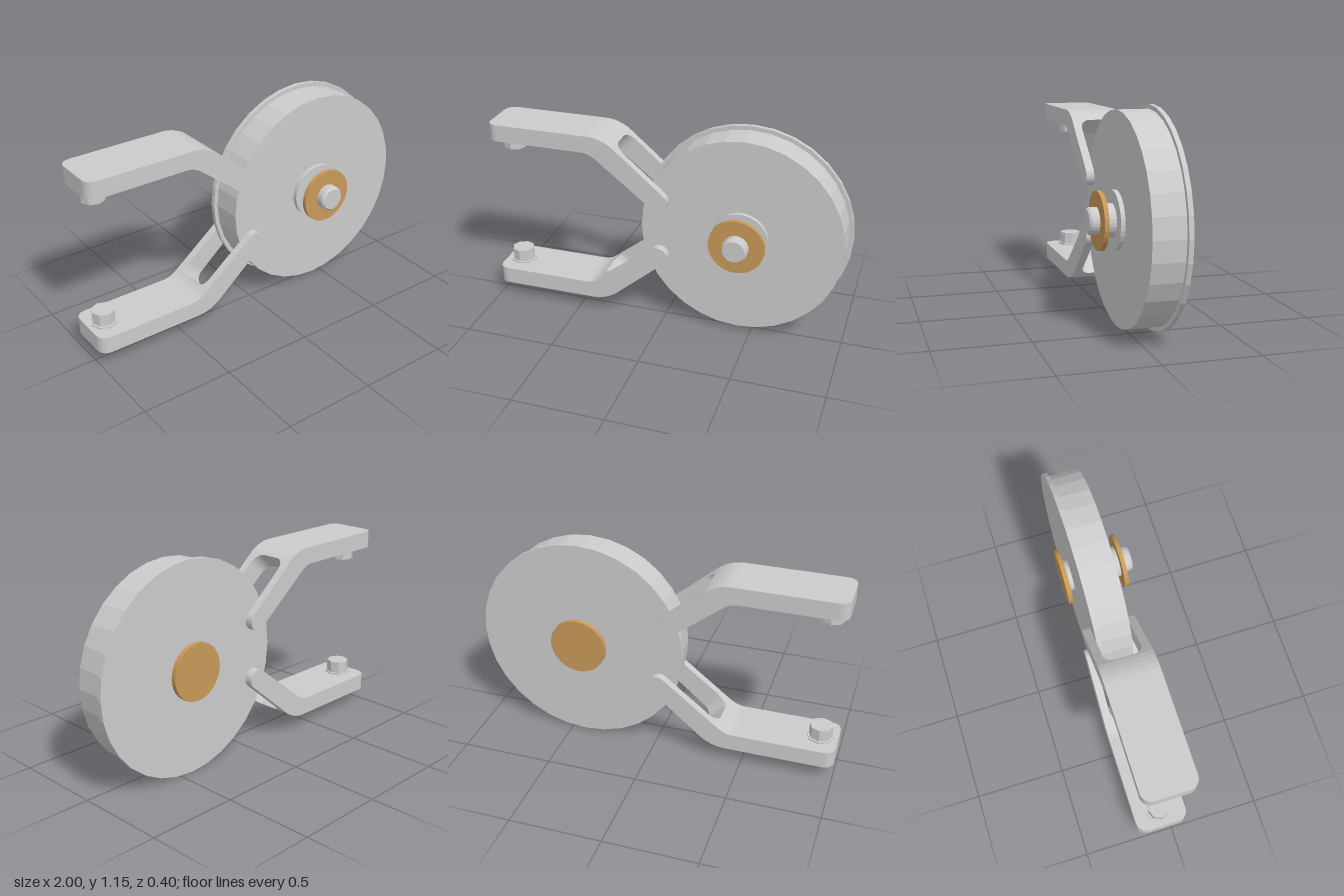
import * as THREE from 'three';

const grey = new THREE.MeshStandardMaterial({ color: 0xcccccc, flatShading: true });
const brass = new THREE.MeshStandardMaterial({ color: 0xc89858, flatShading: true });
const AXIS = new THREE.Vector2(0.425, 0.578); // wheel centre, also the mirror height of the arms
const MID_Z = -0.052; // centre plane of the arms

function add(parent, name, geometry, material = grey) {
  const mesh = new THREE.Mesh(geometry, material);
  mesh.name = name;
  parent.add(mesh);
  return mesh;
}

// Disc on the wheel axle between two z positions
function disc(parent, name, r, z0, z1, material, sides = 32, rFront = r) {
  const g = new THREE.CylinderGeometry(rFront, r, z1 - z0, sides);
  g.rotateX(Math.PI / 2);
  g.translate(AXIS.x, AXIS.y, (z0 + z1) / 2);
  return add(parent, name, g, material);
}

// Stations along the upper arm: top and bottom points, half width w, half slot gap g
function armStations() {
  const W = 0.144, GAP = 0.1, CORNER = 0.055, R = 0.053, out = [];
  const v = (x, y) => new THREE.Vector2(x, y);
  const put = (top, bot, w = W, g = 0) => out.push({ top, bot, w, g });
  // free end with rounded plan corners
  for (let i = 0; i <= 5; i++) {
    const a = (i / 5) * Math.PI / 2, x = -1 + CORNER * (1 - Math.cos(a));
    put(v(x, 1.073), v(x, 0.978), W - CORNER * (1 - Math.sin(a)));
  }
  // bend
  const outer = new THREE.QuadraticBezierCurve(v(-0.41, 1.073), v(-0.345, 1.073), v(-0.28, 1.03));
  const inner = new THREE.QuadraticBezierCurve(v(-0.45, 0.978), v(-0.41, 0.978), v(-0.37, 0.948));
  for (let i = 0; i <= 5; i++) put(outer.getPoint(i / 5), inner.getPoint(i / 5));
  // slope with the rounded start of the fork slot
  const d = v(0.788, -0.616), n = v(0.616, 0.788), c = v(-0.025, 0.743);
  const tip = (a, s) => c.clone().addScaledVector(d, R * Math.sin(a)).addScaledVector(n, s * R * Math.cos(a));
  const t0 = outer.v2, b0 = inner.v2, t1 = tip(0, 1), b1 = tip(0, -1);
  const slope = (s, g) => put(t0.clone().lerp(t1, s), b0.clone().lerp(b1, s), W, g);
  slope(0.03, 0);
  for (let i = 0; i <= 5; i++) {
    const a = (i / 5) * Math.PI / 2;
    slope(0.03 + 0.17 * (1 - Math.cos(a)), GAP - 0.055 * (1 - Math.sin(a)));
  }
  // rounded prong tip
  for (let i = 0; i <= 7; i++) {
    const a = (i / 7) * Math.PI / 2;
    put(tip(a, 1), tip(a, -1), W, GAP);
  }
  return out;
}

// Loft one half of an arm; sy = -1 gives the lower arm, sz = -1 the back half
function halfArm(stations, sy, sz) {
  const pos = [];
  const P = (p, z) => [p.x, AXIS.y + sy * (p.y - AXIS.y), MID_Z + sz * z];
  const quad = (a, b, c, d) => {
    const tri = (p, q, r) => (sy * sz > 0 ? pos.push(...p, ...q, ...r) : pos.push(...p, ...r, ...q));
    tri(a, b, c);
    tri(a, c, d);
  };
  const ring = (s) => [P(s.top, s.g), P(s.top, s.w), P(s.bot, s.w), P(s.bot, s.g)];
  for (let i = 0; i + 1 < stations.length; i++) {
    const s = stations[i], t = stations[i + 1], A = ring(s), B = ring(t);
    const sides = s.g + t.g > 0 ? 4 : 3; // the inner wall exists only along the slot
    for (let k = 0; k < sides; k++) {
      const m = (k + 1) % 4;
      quad(A[k], A[m], B[m], B[k]);
    }
  }
  const E = ring(stations[0]);
  quad(E[0], E[3], E[2], E[1]);
  const g = new THREE.BufferGeometry();
  g.setAttribute('position', new THREE.Float32BufferAttribute(pos, 3));
  g.computeVertexNormals();
  return g;
}

export function createModel() {
  const model = new THREE.Group();
  model.name = 'forkedWheel';

  // Wheel with a thin rear flange
  const wheel = new THREE.Group();
  wheel.name = 'wheel';
  model.add(wheel);
  disc(wheel, 'wheelBody', 0.553, -0.125, 0.045, grey);
  disc(wheel, 'wheelFlange', 0.576, -0.147, -0.122, grey);

  // Axle, hub and washers
  const axle = new THREE.Group();
  axle.name = 'axle';
  model.add(axle);
  disc(axle, 'hubDisc', 0.153, 0.04, 0.068, grey);
  disc(axle, 'frontShaft', 0.086, 0.06, 0.128, grey, 24);
  disc(axle, 'frontWasher', 0.152, 0.126, 0.149, brass);
  disc(axle, 'shaftEnd', 0.07, 0.14, 0.189, grey, 24);
  disc(axle, 'shaftChamfer', 0.07, 0.189, 0.201, grey, 24, 0.06);
  disc(axle, 'rearShaft', 0.086, -0.178, -0.14, grey, 24);
  disc(axle, 'rearWasher', 0.155, -0.201, -0.175, brass);

  // Mirrored forked arms, each with a pin on its inner face
  const stations = armStations();
  for (const sy of [1, -1]) {
    const arm = new THREE.Group();
    arm.name = sy > 0 ? 'upperArm' : 'lowerArm';
    model.add(arm);
    add(arm, 'armFrontHalf', halfArm(stations, sy, 1));
    add(arm, 'armBackHalf', halfArm(stations, sy, -1));
    const pin = (name, r, y0, y1) => {
      const mesh = add(arm, name, new THREE.CylinderGeometry(r, r, y1 - y0, 8));
      mesh.position.set(-0.905, AXIS.y + sy * ((y0 + y1) / 2 - AXIS.y), MID_Z);
    };
    pin('pin', 0.063, 0.902, 0.985);
    pin('pinCollar', 0.075, 0.97, 0.985);
  }
  return model;
}
